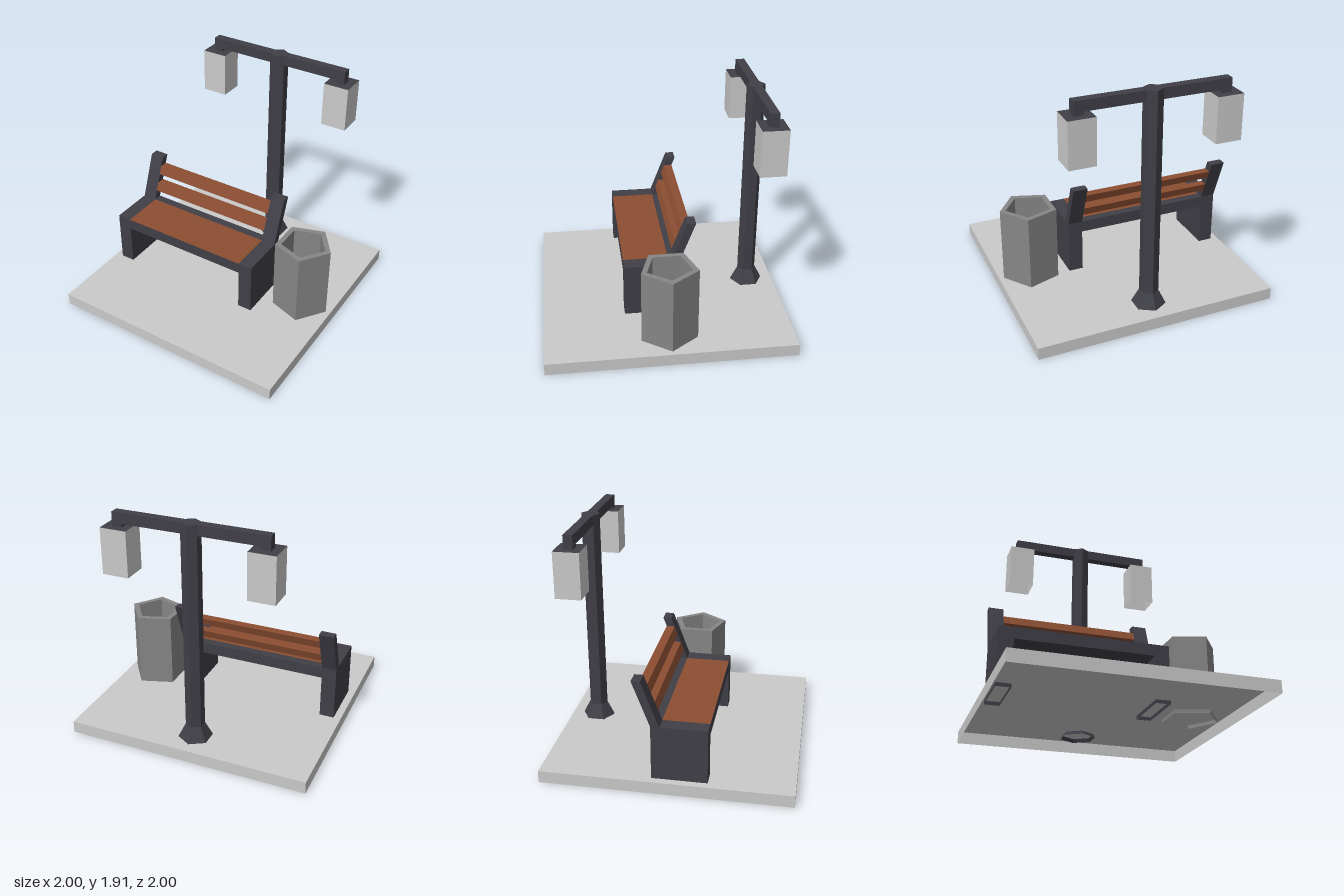
import * as THREE from 'three';

const material = (name, color) =>
  Object.assign(new THREE.MeshStandardMaterial({ color, side: THREE.DoubleSide }), { name });

export function createModel() {
  const concrete = material('pale concrete', 0xcacaca);
  const metal = material('dark metal', 0x403f47);
  const wood = material('warm wood', 0x8c4e33);
  const stone = material('grey stone', 0x868686);

  const model = new THREE.Group();
  model.name = 'streetCorner';

  const add = (parent, name, geometry, mat) => {
    const mesh = new THREE.Mesh(geometry, mat);
    mesh.name = name;
    parent.add(mesh);
    return mesh;
  };
  const group = (name) => {
    const g = new THREE.Group();
    g.name = name;
    model.add(g);
    return g;
  };

  // Box given by its limits on each axis
  const box = ([x0, x1], [y0, y1], [z0, z1]) =>
    new THREE.BoxGeometry(x1 - x0, y1 - y0, z1 - z0)
      .translate((x0 + x1) / 2, (y0 + y1) / 2, (z0 + z1) / 2);

  // Box without its bottom face; group 1 is the top face
  const openBox = (...limits) => {
    const g = box(...limits);
    const index = Array.from(g.index.array);
    index.splice(18, 6);
    g.setIndex(index);
    g.clearGroups();
    g.addGroup(0, 12, 0);
    g.addGroup(12, 6, 1);
    g.addGroup(18, 12, 0);
    return g;
  };

  // Faceted prism turned from a profile of [radius, y] points
  const faceted = (profile, sides, start = 0) => {
    const points = profile.map(([r, y]) => new THREE.Vector2(r, y));
    const g = new THREE.LatheGeometry(points, sides, start).toNonIndexed();
    g.computeVertexNormals();
    return g;
  };

  // Ground slab, hollow underneath
  add(model, 'groundSlab', openBox([-1, 1], [0, 0.1], [-1, 1]), concrete);

  // Bench: legs, seat, rear rail, leaning posts and slats
  const bench = group('bench');
  const sides = [[-0.94, -0.82], [0.30, 0.42]];
  const inner = [-0.82, 0.30];
  const backZ = -0.11, seatZ = -0.04, frontZ = 0.33;

  const leaning = ([x0, x1], y0, y1) => {
    const front = (y) => seatZ - 0.38 * (y - 0.55);
    const shape = new THREE.Shape([
      new THREE.Vector2(-front(y0), y0),
      new THREE.Vector2(-front(y0) + 0.07, y0),
      new THREE.Vector2(-front(y1) + 0.07, y1),
      new THREE.Vector2(-front(y1), y1),
    ]);
    return new THREE.ExtrudeGeometry(shape, { depth: x1 - x0, bevelEnabled: false })
      .rotateY(Math.PI / 2).translate(x0, 0, 0);
  };

  for (const span of sides) {
    add(bench, 'benchLeg', openBox(span, [0.07, 0.55], [backZ, frontZ]), metal);
    add(bench, 'backPost', leaning(span, 0.55, 0.92), metal);
  }
  add(bench, 'seat', box(inner, [0.455, 0.55], [seatZ, frontZ]),
    [metal, metal, wood, metal, metal, metal]);
  add(bench, 'seatRearRail', box(inner, [0.455, 0.55], [backZ, seatZ]), metal);
  for (const y of [0.63, 0.775]) add(bench, 'backSlat', leaning(inner, y, y + 0.07), wood);

  // Five-sided litter bin
  const bin = add(model, 'litterBin', faceted(
    [[0.238, 0.07], [0.238, 0.725], [0.188, 0.725], [0.188, 0.2], [0, 0.2]],
    5, Math.PI / 2), stone);
  bin.position.set(0.722, 0, 0.005);

  // Street lamp with two hanging lanterns
  const lamp = group('streetLamp');
  lamp.position.z = -0.775;
  add(lamp, 'lampPost', faceted(
    [[0.153, 0.07], [0.076, 0.22], [0.076, 1.909], [0, 1.909]], 6), metal);
  add(lamp, 'crossArm', box([-0.62, 0.62], [1.825, 1.91], [-0.037, 0.037]), metal);
  for (const s of [-1, 1]) {
    const x = s * 0.58;
    add(lamp, 'lanternHanger', box([x - 0.04, x + 0.04], [1.795, 1.825], [-0.037, 0.037]), metal);
    add(lamp, 'lantern',
      openBox([x - 0.107, x + 0.107], [1.43, 1.8], [-0.103, 0.103]), [concrete, metal]);
  }

  return model;
}
